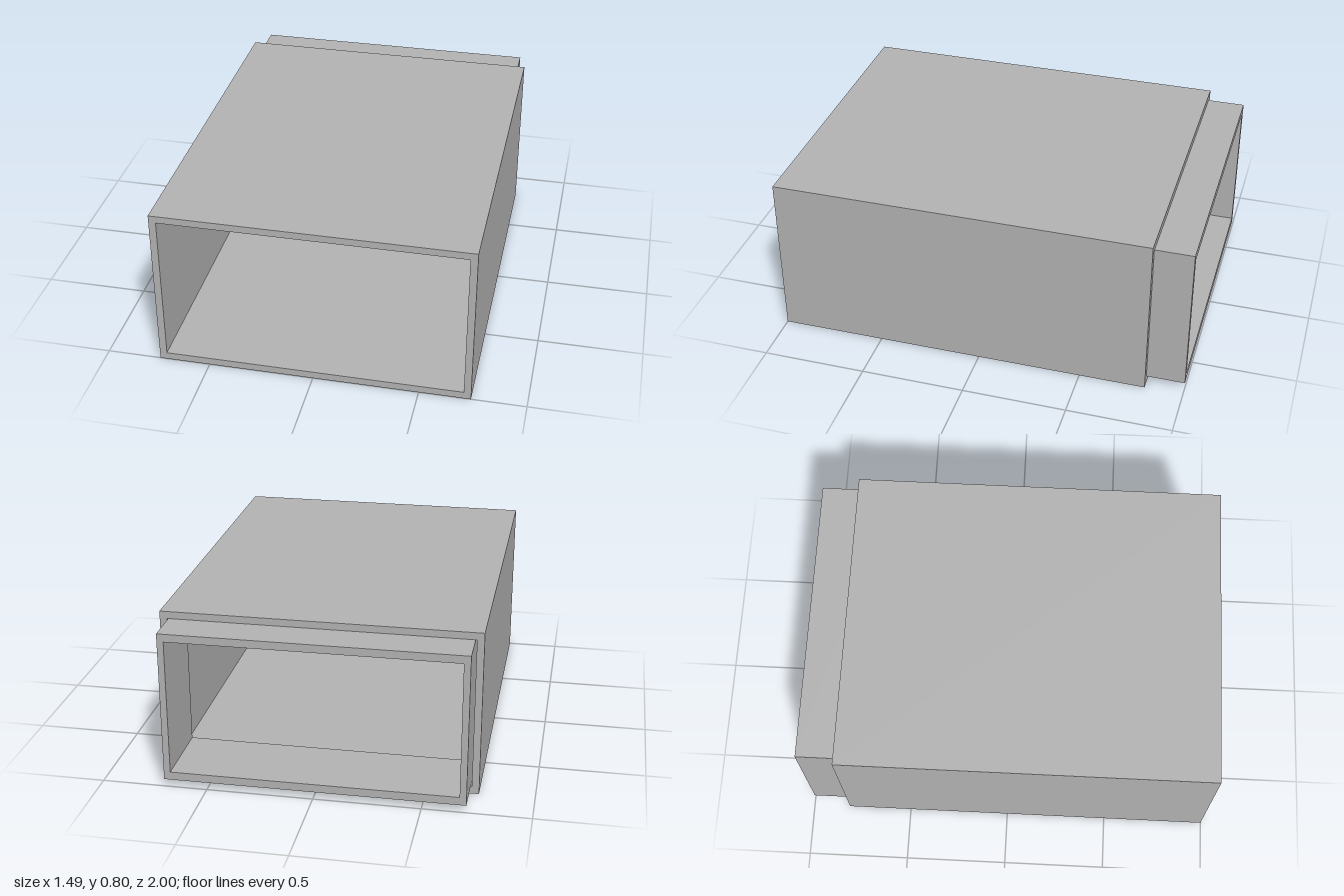
import * as THREE from 'three';

const rect = (PathType, halfWidth, bottom, top) =>
  new PathType([
    new THREE.Vector2(-halfWidth, bottom),
    new THREE.Vector2(halfWidth, bottom),
    new THREE.Vector2(halfWidth, top),
    new THREE.Vector2(-halfWidth, top),
  ]);

// Rectangular tube running along z; outer and inner are [halfWidth, bottom, top]
function tube(name, outer, inner, zBack, zFront, material) {
  const shape = rect(THREE.Shape, ...outer);
  shape.holes.push(rect(THREE.Path, ...inner));
  const geometry = new THREE.ExtrudeGeometry(shape, { depth: zFront - zBack, bevelEnabled: false });
  geometry.translate(0, 0, zBack);
  const mesh = new THREE.Mesh(geometry, material);
  mesh.name = name;
  return mesh;
}

export function createModel() {
  const model = new THREE.Group();
  model.name = 'rectangularDuct';
  const grey = new THREE.MeshStandardMaterial({ color: 0xb3b3b3 });
  grey.name = 'duct grey';

  // Long outer casing, open at both ends
  model.add(tube('outerDuct', [0.743, 0, 0.8], [0.709, 0.035, 0.766], -0.817, 1, grey));
  // Connecting sleeve that slides into the back, with a hairline gap at the sides
  model.add(tube('connectorSleeve', [0.703, 0.036, 0.765], [0.672, 0.075, 0.727], -1, -0.636, grey));
  return model;
}
